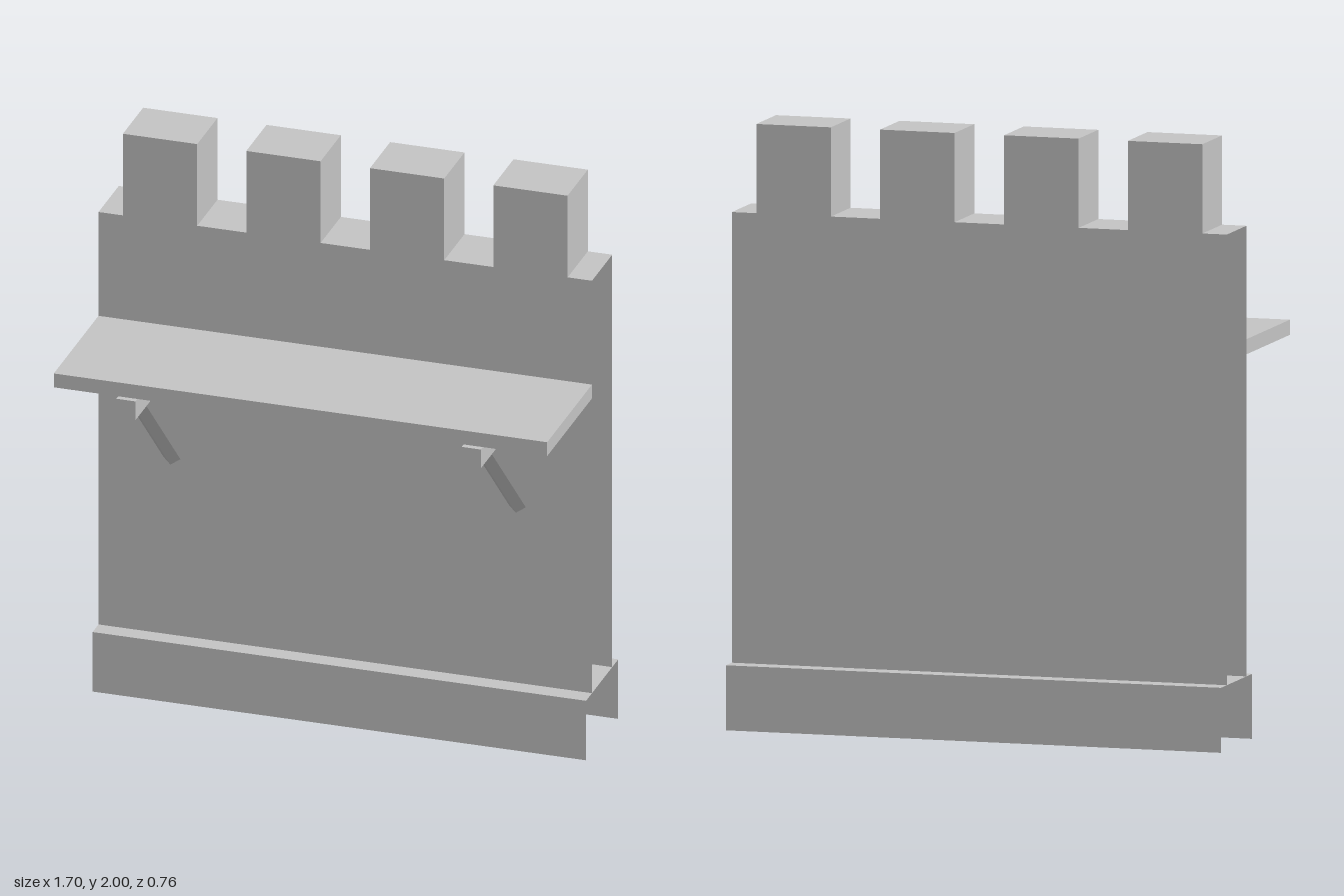
import * as THREE from 'three';

const HALF = 0.85; // half of the wall's width

// Open-ended sheet: a [z, y] outline swept along x, flat on each face
function channel(outline, material, name) {
  const pos = [];
  for (let i = 0; i < outline.length - 1; i++) {
    const [za, ya] = outline[i];
    const [zb, yb] = outline[i + 1];
    pos.push(-HALF, ya, za, HALF, ya, za, HALF, yb, zb);
    pos.push(-HALF, ya, za, HALF, yb, zb, -HALF, yb, zb);
  }
  const geometry = new THREE.BufferGeometry();
  geometry.setAttribute('position', new THREE.Float32BufferAttribute(pos, 3));
  geometry.computeVertexNormals();
  const mesh = new THREE.Mesh(geometry, material);
  mesh.name = name;
  return mesh;
}

// Box given by its limits on each axis
function box([x0, x1], [y0, y1], [z0, z1], material, name) {
  const mesh = new THREE.Mesh(new THREE.BoxGeometry(x1 - x0, y1 - y0, z1 - z0), material);
  mesh.position.set((x0 + x1) / 2, (y0 + y1) / 2, (z0 + z1) / 2);
  mesh.name = name;
  return mesh;
}

export function createModel() {
  const model = new THREE.Group();
  model.name = 'battlementWall';
  const stone = new THREE.MeshStandardMaterial({ color: 0xc4c4c4, side: THREE.DoubleSide });
  stone.name = 'stoneGrey';

  const front = -0.107, back = -0.319, wallTop = 1.705, baseTop = 0.215;

  // Hollow wall and wider plinth, open at both ends and below
  model.add(channel([[front, baseTop], [front, wallTop], [back, wallTop], [back, baseTop]], stone, 'wall'));
  model.add(channel([[-0.045, 0], [-0.045, baseTop], [-0.382, baseTop], [-0.382, 0]], stone, 'plinth'));

  // Four merlons
  for (const x of [-0.638, -0.213, 0.213, 0.638]) {
    model.add(box([x - 0.128, x + 0.128], [wallTop, 2], [back, front], stone, 'merlon'));
  }

  // Walkway
  model.add(box([-HALF, HALF], [1.28, 1.33], [front, 0.362], stone, 'walkway'));

  // Support beams with diagonal struts set on edge
  for (const side of [-1, 1]) {
    const x = side * 0.595;
    model.add(box([x - 0.033, x + 0.033], [1.212, 1.28], [front, 0.382], stone, 'beam'));

    const low = new THREE.Vector3(x, 0.856, -0.101);
    const high = new THREE.Vector3(x, 1.235, 0.284);
    const geometry = new THREE.CylinderGeometry(0.029, 0.029, low.distanceTo(high), 4).toNonIndexed();
    geometry.scale(1, 1, 0.8);
    geometry.computeVertexNormals();
    const strut = new THREE.Mesh(geometry, stone);
    strut.name = 'strut';
    strut.position.lerpVectors(low, high, 0.5);
    strut.rotation.x = Math.atan2(high.z - low.z, high.y - low.y);
    model.add(strut);
  }
  return model;
}
